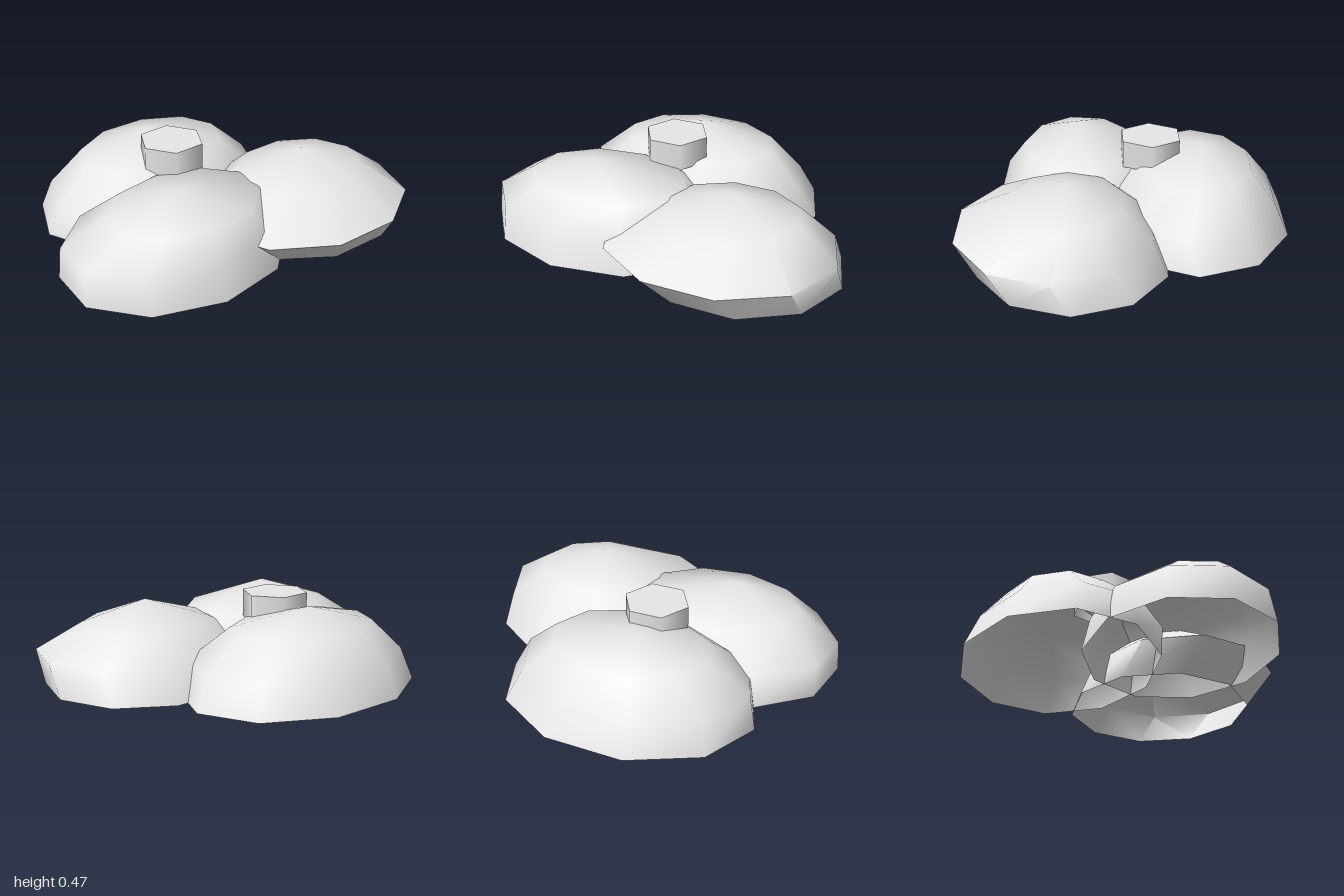
import * as THREE from 'three';
import { toCreasedNormals } from 'three/addons/utils/BufferGeometryUtils.js';

const stone = new THREE.MeshStandardMaterial({ color: 0xe7e7e7, side: THREE.DoubleSide });
stone.name = 'pale grey';

const SIDES = 10;

// Open dome: rings of [y, centreX, centreZ, radiusX, radiusZ] closed by an apex point
function domeGeometry(offset, rings, apex) {
  const points = [], index = [];
  for (const [y, cx, cz, rx, rz] of rings) {
    for (let i = 0; i < SIDES; i++) {
      const a = THREE.MathUtils.degToRad(offset + (i * 360) / SIDES);
      points.push(cx + rx * Math.cos(a), y, cz + rz * Math.sin(a));
    }
  }
  points.push(...apex);
  const top = rings.length * SIDES;
  for (let r = 0; r < rings.length; r++) {
    for (let i = 0; i < SIDES; i++) {
      const a = r * SIDES + i, b = r * SIDES + (i + 1) % SIDES;
      if (r === rings.length - 1) index.push(a, top, b);
      else index.push(a, a + SIDES, b, b, a + SIDES, b + SIDES);
    }
  }
  const geometry = new THREE.BufferGeometry();
  geometry.setAttribute('position', new THREE.Float32BufferAttribute(points, 3));
  geometry.setIndex(index);
  return toCreasedNormals(geometry, 1.2);
}

const domes = [
  // front dome leans forward, so its rim overhangs the base
  { name: 'frontLeftDome', offset: 1.5, apex: [0.41, 0.43, 0.33], rings: [
    [0, 0.45, 0.285, 0.55, 0.505],
    [0.165, 0.37, 0.38, 0.625, 0.53],
    [0.32, 0.41, 0.32, 0.37, 0.31],
  ] },
  { name: 'frontRightDome', offset: 25.5, apex: [-0.42, 0.43, 0.27], rings: [
    [0, -0.36, 0.205, 0.65, 0.505],
    [0.175, -0.38, 0.2, 0.62, 0.46],
    [0.325, -0.33, 0.24, 0.44, 0.32],
  ] },
  // back dome leans slightly towards the centre
  { name: 'backDome', offset: 3, apex: [-0.08, 0.43, -0.41], rings: [
    [0, -0.05, -0.375, 0.7, 0.53],
    [0.165, -0.07, -0.335, 0.635, 0.495],
    [0.34, -0.06, -0.38, 0.43, 0.31],
  ] },
];

export function createModel() {
  const model = new THREE.Group();
  model.name = 'domeCluster';

  for (const { name, offset, rings, apex } of domes) {
    const dome = new THREE.Mesh(domeGeometry(offset, rings, apex), stone);
    dome.name = name;
    model.add(dome);
  }

  // Hexagonal cap where the domes meet, open underneath
  const cap = new THREE.Group();
  cap.name = 'hexagonalCap';
  cap.position.set(-0.105, 0, -0.14);
  const wall = new THREE.Mesh(new THREE.CylinderGeometry(0.177, 0.177, 0.147, 6, 1, true), stone);
  wall.name = 'capWall';
  wall.position.y = 0.3935;
  wall.rotation.y = Math.PI / 6;
  const lid = new THREE.Mesh(new THREE.CircleGeometry(0.177, 6), stone);
  lid.name = 'capLid';
  lid.position.y = 0.467;
  lid.rotation.x = -Math.PI / 2;
  cap.add(wall, lid);
  model.add(cap);

  return model;
}
